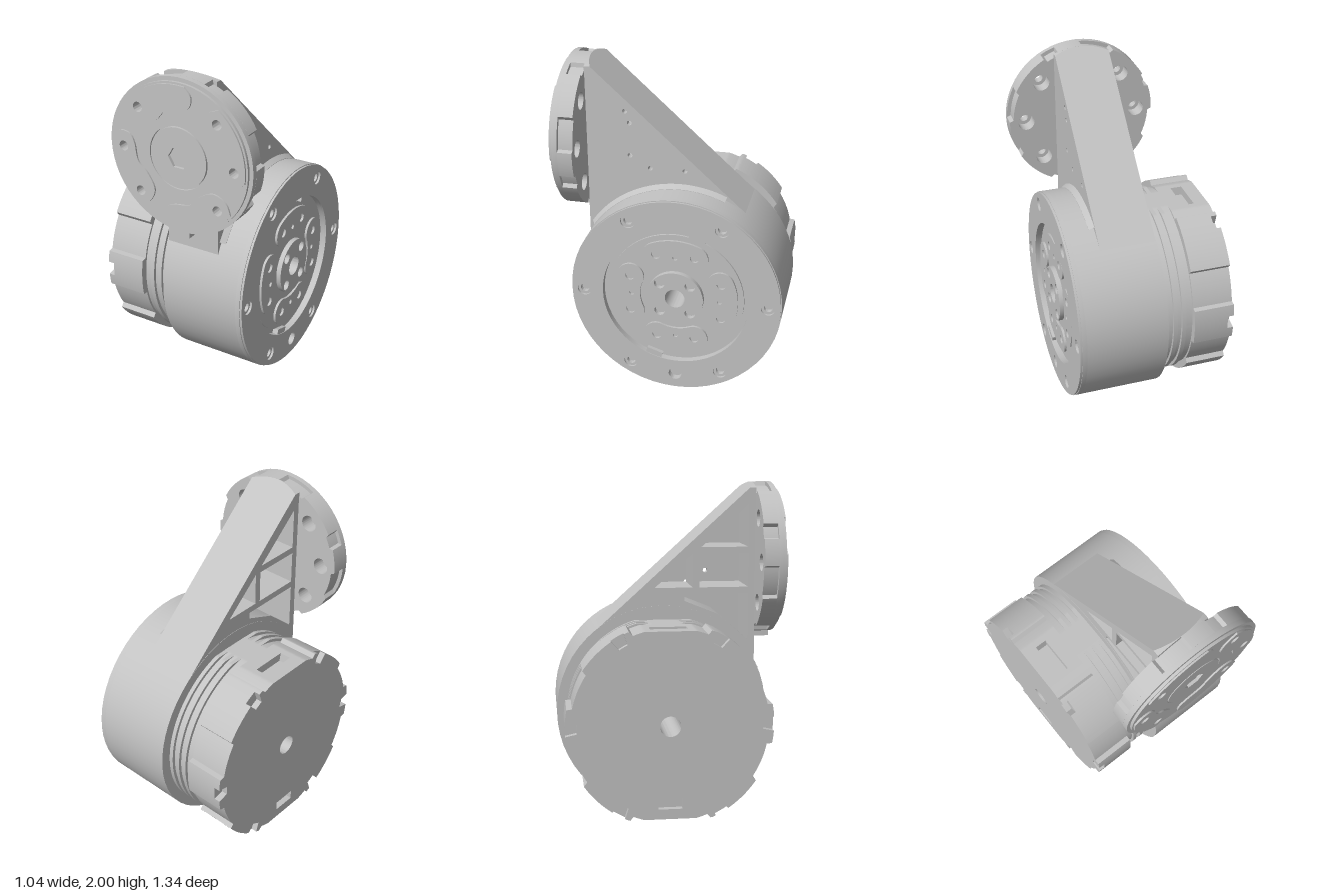
import * as THREE from 'three';
import { toCreasedNormals } from 'three/addons/utils/BufferGeometryUtils.js';

const metal = new THREE.MeshStandardMaterial({ color: 0xc2c2c2 });
metal.name = 'light grey metal';

const circle = (r, x = 0, y = 0, Kind = THREE.Shape) => {
  const s = new Kind();
  s.absarc(x, y, r, 0, Math.PI * 2, false);
  return s;
};
const hole = (r, x, y) => circle(r, x, y, THREE.Path);
const polygon = (pts, Kind = THREE.Shape) => new Kind(pts.map(([x, y]) => new THREE.Vector2(x, y)));
const polar = (r, deg) => [r * Math.cos(deg * Math.PI / 180), r * Math.sin(deg * Math.PI / 180)];

// Extrude a shape from one depth to another, along x or z; a rule may then move the vertices
function slab(parent, name, shape, from, to, holes = [], { alongX = true, steps = 1, rule } = {}) {
  shape.holes.push(...holes);
  let g = new THREE.ExtrudeGeometry(shape, { depth: to - from, steps, bevelEnabled: false, curveSegments: 28 });
  g.translate(0, 0, from);
  if (alongX) g.rotateY(Math.PI / 2);
  if (rule) {
    const p = g.attributes.position, v = new THREE.Vector3();
    for (let i = 0; i < p.count; i++) {
      rule(v.fromBufferAttribute(p, i));
      p.setXYZ(i, v.x, v.y, v.z);
    }
  }
  g = toCreasedNormals(g, 0.5);
  const m = new THREE.Mesh(g, metal);
  m.name = name;
  parent.add(m);
  return m;
}

// Cap section: round with flat top and bottom, optional lobes, notches and slots
function capOutline(base, { lobes = false, notch = false, slot = false } = {}) {
  const pts = [];
  for (let a = 0; a < 360; a += 1) {
    const off = Math.abs(((a + 30) % 60) - 30);
    const fold = Math.min(a % 180, 180 - (a % 180));
    let r = base;
    if (lobes && (fold < 11.5 || (fold > 33 && fold < 68))) r = 0.6;
    if (notch && off < 4) r = 0.535;
    const [x, y] = polar(r, a);
    const limit = slot && Math.abs(x) < 0.1 ? 0.5 : 0.55;
    pts.push([x, THREE.MathUtils.clamp(y, -limit, limit)]);
  }
  return polygon(pts);
}

// Kidney-shaped pad centred on the +y axis
function kidney() {
  const s = new THREE.Shape(), h = 23 * Math.PI / 180, q = Math.PI / 2;
  const [rx, ry] = polar(0.295, 67);
  s.absarc(0, 0, 0.375, q - h, q + h, false);
  s.absarc(-rx, ry, 0.08, q + h, q + h + Math.PI, false);
  s.absarc(0, 0, 0.215, q + h, q - h, true);
  s.absarc(rx, ry, 0.08, q - h + Math.PI, q - h + 2 * Math.PI, false);
  return s;
}

function buildMotor() {
  const motor = new THREE.Group();
  motor.name = 'motor';
  motor.position.set(0, 0.64, -0.035);
  const bore = () => hole(0.06, 0, 0);

  // Round housing and bolted face ring
  slab(motor, 'housing', circle(0.635), -0.105, 0.385, [bore()]);
  const bolts = r => [0, 60, 120, 180, 240, 300].map(a => hole(r, ...polar(0.555, a)));
  slab(motor, 'ringBase', circle(0.635), 0.385, 0.412, [hole(0.44, 0, 0), hole(0.04, 0, -0.535), ...bolts(0.026)]);
  slab(motor, 'ringFace', circle(0.63), 0.412, 0.425, [hole(0.44, 0, 0), hole(0.04, 0, -0.535), ...bolts(0.042)]);
  for (const a of [72, 252]) {
    const stop = slab(motor, 'ringStop', polygon([[0.405, -0.05], [0.45, -0.05], [0.45, 0.05], [0.405, 0.05]]), 0.385, 0.42);
    stop.rotation.x = a * Math.PI / 180;
  }

  // Output rotor, kidney pads and hub
  slab(motor, 'rotor', circle(0.41), 0.385, 0.396, [bore()]);
  for (let i = 0; i < 4; i++) {
    const pad = slab(motor, 'rotorPad', kidney(), 0.396, 0.41,
      [hole(0.027, 0.115, 0.275), hole(0.027, -0.115, 0.275), hole(0.015, 0, 0.265)]);
    pad.rotation.x = i * Math.PI / 2;
  }
  const hubBolts = [45, 135, 225, 315].map(a => hole(0.032, ...polar(0.13, a)));
  slab(motor, 'hub', circle(0.17), 0.396, 0.425, [bore(), ...hubBolts]);

  // Cooling fins
  slab(motor, 'finCore', capOutline(0.557), -0.28, -0.105, [bore()]);
  for (let i = 0; i < 3; i++) {
    const x = -0.236 + i * 0.052;
    slab(motor, 'fin', capOutline(0.575), x, x + 0.025, [bore()]);
  }

  // Lobed rear cap, in slices
  const endSlot = polygon([[-0.07, -0.49], [0.07, -0.49], [0.07, -0.43], [-0.07, -0.43]], THREE.Path);
  slab(motor, 'capRear', capOutline(0.57, { lobes: true, notch: true }), -0.525, -0.488, [bore(), endSlot]);
  slab(motor, 'capMiddle', capOutline(0.57, { lobes: true }), -0.488, -0.44, [bore()]);
  slab(motor, 'capSlots', capOutline(0.57, { lobes: true, slot: true }), -0.44, -0.37, [bore()]);
  slab(motor, 'capFront', capOutline(0.57, { lobes: true }), -0.37, -0.28, [bore()]);
  return motor;
}

const FLANGE_X = 0.064, FLANGE_Y = 1.545, FLANGE_R = 0.455;

function buildArm() {
  const arm = new THREE.Group();
  arm.name = 'arm';
  // Side profile, drawn with -z to the right
  const outline = () => polygon([[-0.527, 0.935], [-0.3, 0.85], [0.3, 0.9], [0.454, 1.112], [-0.525, 2], [-0.527, 2]]);
  const pockets = [
    [[-0.485, 1.62], [-0.2, 1.62], [-0.485, 1.87]],
    [[-0.485, 1.38], [-0.19, 1.38], [-0.19, 1.58], [-0.485, 1.58]],
    [[-0.15, 1.38], [0.08, 1.38], [-0.15, 1.58]],
    [[-0.485, 1.06], [-0.3, 1.22], [-0.1, 1.3], [-0.1, 1.34], [-0.485, 1.34]],
  ].map(p => polygon(p, THREE.Path));
  const pins = [[-0.295, 1.72], [-0.27, 1.65], [-0.27, 1.45], [-0.15, 1.38], [0.055, 1.38]]
    .map(([x, y]) => hole(0.014, x, y));

  // Round the top edge to stay behind the flange disc, sliding it down the slope
  const roundTop = v => {
    if (v.y < 1.9) return;
    const drop = 2 - FLANGE_Y - Math.sqrt(FLANGE_R ** 2 - (v.x - FLANGE_X) ** 2);
    v.y -= drop;
    if (v.z < 0.526) v.z -= drop * 1.1;
  };
  slab(arm, 'armRibs', outline(), -0.103, 0.19, pockets, { steps: 8, rule: roundTop });
  slab(arm, 'armPlate', outline(), 0.19, 0.23, pins, { steps: 2, rule: roundTop });

  // Sloped fillet where the arm meets the housing
  const seam = new THREE.Shape();
  seam.absarc(0, 0, 0.663, 1.15, 2.55, false);
  const fillet = slab(arm, 'armFillet', seam, 0.22, 0.262, [], {
    rule: v => { if (v.x > 0.25) v.multiply(new THREE.Vector3(1, 0.96, 0.96)); },
  });
  fillet.position.set(0, 0.64, -0.035);
  return arm;
}

// Disc section with pockets cut into its rim, repeated each quarter turn
function notchedDisc() {
  const pts = [];
  for (let a = 0; a < 360; a += 1.5) {
    const q = a % 90;
    pts.push(polar((q > 2 && q < 27) || (q > 60 && q < 72) ? 0.432 : FLANGE_R, a));
  }
  return polygon(pts);
}

function buildFlange() {
  const flange = new THREE.Group();
  flange.name = 'flange';
  flange.position.set(FLANGE_X, FLANGE_Y, 0);
  const add = (name, shape, from, to, holes) => slab(flange, name, shape, from, to, holes, { alongX: false });
  const bolts = r => [0, 45, 135, 180, 225, 315].map(a => hole(r, ...polar(0.352, a)));

  // Disc with wide bolt seats at the back, front plate, hub and locating tab
  add('flangeBack', notchedDisc(), 0.525, 0.61, bolts(0.05));
  add('flangeRim', circle(FLANGE_R), 0.61, 0.642, bolts(0.029));
  add('flangePlate', circle(0.432), 0.642, 0.658, [hole(0.185, 0, 0), ...bolts(0.029)]);
  add('flangeHub', circle(0.178), 0.642, 0.66,
    [polygon([0, 60, 120, 180, 240, 300].map(a => polar(0.065, a)), THREE.Path)]);
  add('flangeTab', polygon([[-0.05, -0.485], [0.05, -0.485], [0.05, -0.4], [-0.05, -0.4]]), 0.525, 0.64);

  // Four swept pads, each around one diagonal bolt hole
  for (let i = 0; i < 4; i++) {
    const s = new THREE.Shape();
    s.moveTo(...polar(0.42, 142));
    s.splineThru([[-0.30, 0.19], [-0.22, 0.155], [-0.13, 0.2], [-0.07, 0.26], [0.03, 0.28], [0.08, 0.31], [0.09, 0.37], polar(0.42, 83)]
      .map(([x, y]) => new THREE.Vector2(x, y)));
    s.absarc(0, 0, 0.42, 83 * Math.PI / 180, 142 * Math.PI / 180, false);
    // The tails of the side pads also cover the bolt holes at left and right
    const own = [hole(0.029, ...polar(0.352, 135))];
    if (i % 2) own.push(hole(0.029, ...polar(0.352, 90)));
    add('flangePad', s, 0.658, 0.668, own).rotation.z = i * Math.PI / 2;
  }
  return flange;
}

export function createModel() {
  const model = new THREE.Group();
  model.name = 'actuator';
  model.add(buildMotor(), buildArm(), buildFlange());
  return model;
}
